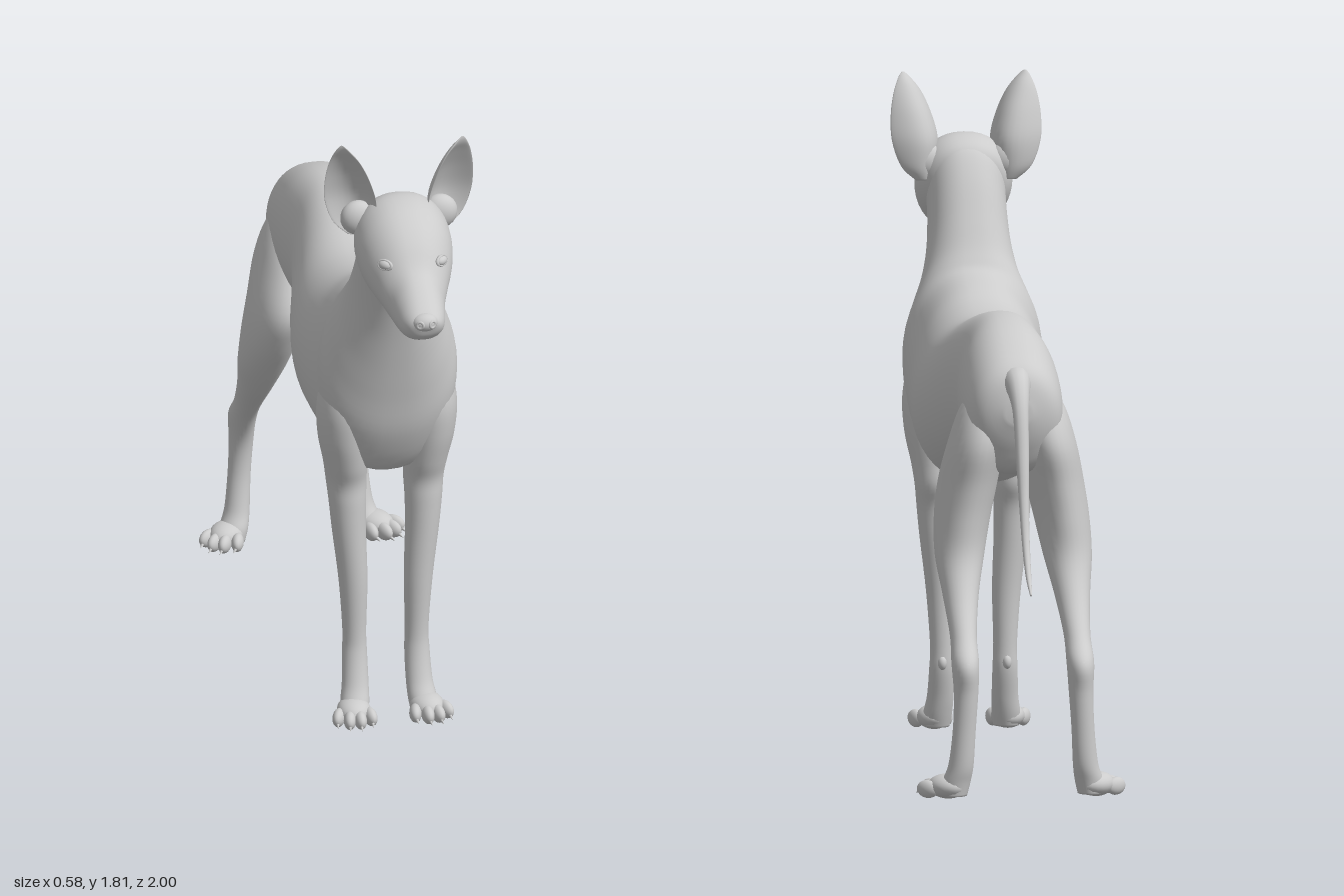
import * as THREE from 'three';

const coat = new THREE.MeshStandardMaterial({ color: 0xcccccc });
coat.name = 'light grey coat';

// Catmull-Rom refinement of a list of number rows
function refine(rows, n) {
  const out = [];
  for (let i = 0; i < rows.length - 1; i++) {
    const a = rows[Math.max(i - 1, 0)], b = rows[i], c = rows[i + 1], d = rows[Math.min(i + 2, rows.length - 1)];
    for (let k = 0; k < n; k++) {
      const t = k / n;
      out.push(b.map((_, q) => b[q] + 0.5 * t * (c[q] - a[q] +
        t * (2 * a[q] - 5 * b[q] + 4 * c[q] - d[q] + t * (3 * (b[q] - c[q]) + d[q] - a[q])))));
    }
  }
  out.push(rows[rows.length - 1]);
  return out;
}

// Closed smooth skin over cross-sections; ring(row, cos, sin) gives one point
function loft(name, rows, ring, segs = 32, steps = 5) {
  const fine = refine(rows, steps), pos = [], idx = [];
  for (const r of fine) for (let j = 0; j < segs; j++) {
    const a = j / segs * Math.PI * 2;
    pos.push(...ring(r, Math.cos(a), Math.sin(a)));
  }
  for (let i = 0; i < fine.length - 1; i++) for (let j = 0; j < segs; j++) {
    const a = i * segs + j, b = i * segs + (j + 1) % segs, c = a + segs, d = b + segs;
    idx.push(a, b, d, a, d, c);
  }
  for (const [row, flip] of [[0, true], [fine.length - 1, false]]) {
    const mid = pos.length / 3, m = [0, 0, 0];
    for (let j = 0; j < segs; j++) for (let k = 0; k < 3; k++) m[k] += pos[(row * segs + j) * 3 + k] / segs;
    pos.push(...m);
    for (let j = 0; j < segs; j++) {
      const a = row * segs + j, b = row * segs + (j + 1) % segs;
      flip ? idx.push(mid, b, a) : idx.push(mid, a, b);
    }
  }
  // Turn the skin outward when its signed volume is negative
  const p = i => new THREE.Vector3().fromArray(pos, i * 3);
  let vol = 0;
  for (let i = 0; i < idx.length; i += 3) vol += p(idx[i]).dot(p(idx[i + 1]).cross(p(idx[i + 2])));
  if (vol < 0) idx.reverse();
  const g = new THREE.BufferGeometry();
  g.setAttribute('position', new THREE.Float32BufferAttribute(pos, 3));
  g.setIndex(idx);
  g.computeVertexNormals();
  const mesh = new THREE.Mesh(g, coat);
  mesh.name = name;
  return mesh;
}

// Section between a top and a bottom point: [topZ, topY, bottomZ, bottomY, halfWidth, pear]
const spine = ([tz, ty, bz, by, w, e = 0], c, s) => [
  w * Math.sign(c) * Math.abs(c) ** 0.88 * (1 - e * s),
  (ty + by) / 2 + s * (ty - by) / 2, (tz + bz) / 2 + s * (tz - bz) / 2];

// Level section: [x, y, z, radiusX, radiusZ], mirrored by side
const limb = side => ([x, y, z, rx, rz], c, s) => [side * (x + rx * c), y, z + rz * s];

function blob(name, x, y, z, rx, ry, rz) {
  const m = new THREE.Mesh(new THREE.SphereGeometry(1, 20, 14), coat);
  m.name = name;
  m.position.set(x, y, z);
  m.scale.set(rx, ry, rz);
  return m;
}

// Paw with four toes and claws, pointing +z before turning
function paw(name, x, z, turn) {
  const g = new THREE.Group();
  g.name = name;
  g.add(blob('pawPad', 0, 0.036, 0, 0.047, 0.034, 0.062));
  for (let i = 0; i < 4; i++) {
    const k = i - 1.5, inner = Math.abs(k) < 1, tx = k * 0.029, tz = inner ? 0.054 : 0.032;
    const toe = blob('toe', tx, 0.028, tz, 0.0175, 0.025, 0.035);
    toe.rotation.y = k * 0.18;
    const claw = new THREE.Mesh(new THREE.ConeGeometry(0.007, 0.026, 8), coat);
    claw.name = 'claw';
    claw.position.set(tx * 1.12, 0.018, tz + 0.035);
    claw.rotation.set(1.95, 0, 0);
    g.add(toe, claw);
  }
  g.position.set(x, 0, z);
  g.rotation.y = turn;
  return g;
}

export function createModel() {
  const dog = new THREE.Group();
  dog.name = 'dog';

  // Torso running up into the neck
  dog.add(loft('bodyAndNeck', [
    [-0.685, 1.09, -0.685, 1.03, 0.035, 0], [-0.665, 1.165, -0.655, 0.95, 0.1, 0],
    [-0.6, 1.215, -0.6, 0.88, 0.133, 0], [-0.45, 1.27, -0.45, 0.87, 0.14, 0],
    [-0.3, 1.285, -0.28, 0.87, 0.13, 0], [-0.15, 1.265, -0.15, 0.85, 0.15, 0],
    [0, 1.23, 0, 0.79, 0.185, 0.03], [0.1, 1.225, 0.12, 0.745, 0.2, 0.05],
    [0.2, 1.24, 0.25, 0.73, 0.197, 0.05], [0.28, 1.27, 0.38, 0.73, 0.19, 0.05],
    [0.34, 1.29, 0.47, 0.75, 0.192, 0.05], [0.37, 1.305, 0.54, 0.87, 0.192, 0.06],
    [0.39, 1.33, 0.575, 1.0, 0.168, 0.06], [0.415, 1.37, 0.605, 1.12, 0.138, 0.04],
    [0.45, 1.44, 0.63, 1.22, 0.118, 0], [0.5, 1.54, 0.655, 1.31, 0.11, 0],
    [0.55, 1.61, 0.68, 1.38, 0.108, 0], [0.6, 1.63, 0.7, 1.42, 0.09, 0]], spine, 48));

  // Skull, stop and muzzle
  dog.add(loft('head', [
    [0.53, 1.575, 0.56, 1.49, 0.05, 0], [0.56, 1.62, 0.59, 1.42, 0.105, 0],
    [0.62, 1.645, 0.64, 1.385, 0.132, 0], [0.69, 1.638, 0.7, 1.362, 0.133, 0.02],
    [0.75, 1.61, 0.755, 1.355, 0.12, 0.04], [0.8, 1.57, 0.805, 1.345, 0.1, 0.06],
    [0.85, 1.513, 0.855, 1.336, 0.08, 0.12], [0.9, 1.48, 0.905, 1.334, 0.07, 0.12],
    [0.95, 1.447, 0.945, 1.342, 0.06, 0.08], [0.98, 1.425, 0.97, 1.36, 0.044, 0],
    [0.99, 1.41, 0.98, 1.38, 0.02, 0]], spine, 40));
  dog.add(blob('nose', 0, 1.407, 0.972, 0.036, 0.026, 0.028));

  // Tail
  dog.add(loft('tail', [
    [-0.58, 1.19, -0.61, 1.1, 0.04], [-0.66, 1.183, -0.65, 1.1, 0.038], [-0.715, 1.155, -0.69, 1.09, 0.03],
    [-0.765, 1.08, -0.727, 1.055, 0.022], [-0.805, 0.95, -0.77, 0.94, 0.018],
    [-0.835, 0.84, -0.807, 0.83, 0.014], [-0.88, 0.733, -0.86, 0.72, 0.011],
    [-0.94, 0.65, -0.927, 0.638, 0.008], [-1, 0.603, -0.998, 0.597, 0.003]], spine, 16));

  for (const s of [1, -1]) {
    const side = s > 0 ? 'left' : 'right';

    // Shoulder and front leg
    dog.add(loft(side + 'FrontLeg', [
      [0.08, 1.14, 0.42, 0.03, 0.04], [0.108, 1.06, 0.43, 0.062, 0.07], [0.122, 0.95, 0.435, 0.073, 0.09],
      [0.122, 0.85, 0.428, 0.07, 0.088], [0.113, 0.76, 0.416, 0.061, 0.077], [0.109, 0.7, 0.406, 0.056, 0.067],
      [0.107, 0.64, 0.415, 0.052, 0.056], [0.103, 0.55, 0.418, 0.047, 0.05], [0.092, 0.4, 0.42, 0.04, 0.041],
      [0.088, 0.25, 0.417, 0.033, 0.034], [0.088, 0.18, 0.42, 0.035, 0.035], [0.09, 0.1, 0.44, 0.037, 0.036],
      [0.095, 0.05, 0.46, 0.04, 0.042], [0.097, 0.012, 0.47, 0.036, 0.038]], limb(s), 28));
    dog.add(blob(side + 'WristPad', s * 0.09, 0.2, 0.39, 0.013, 0.02, 0.016));
    dog.add(paw(side + 'FrontPaw', s * 0.103, 0.485, s * 0.12));

    // Thigh, hock and hind leg
    dog.add(loft(side + 'HindLeg', [
      [0.06, 1.14, -0.54, 0.03, 0.03], [0.082, 1.06, -0.54, 0.062, 0.09], [0.1, 0.96, -0.53, 0.077, 0.137],
      [0.12, 0.85, -0.502, 0.081, 0.15], [0.138, 0.75, -0.518, 0.077, 0.127], [0.15, 0.65, -0.56, 0.068, 0.093],
      [0.155, 0.55, -0.633, 0.05, 0.073], [0.158, 0.45, -0.728, 0.037, 0.06], [0.16, 0.38, -0.795, 0.038, 0.062],
      [0.16, 0.3, -0.813, 0.034, 0.039], [0.165, 0.2, -0.815, 0.032, 0.031], [0.173, 0.1, -0.805, 0.035, 0.036],
      [0.185, 0.05, -0.79, 0.04, 0.042], [0.19, 0.012, -0.785, 0.036, 0.04]], limb(s), 28));
    dog.add(blob(side + 'Hock', s * 0.16, 0.365, -0.833, 0.024, 0.034, 0.026));
    dog.add(paw(side + 'HindPaw', s * 0.208, -0.775, s * 0.55));

    // Cupped ear: [x, y, z, halfWidth, cupDepth]
    dog.add(loft(side + 'Ear', [
      [0.118, 1.52, 0.6, 0.025, 0.01], [0.132, 1.56, 0.61, 0.056, 0.034], [0.14, 1.63, 0.625, 0.075, 0.054],
      [0.15, 1.7, 0.637, 0.066, 0.046], [0.159, 1.76, 0.645, 0.045, 0.024], [0.167, 1.8, 0.651, 0.019, 0.006],
      [0.17, 1.815, 0.652, 0.004, 0.001]], ([x, y, z, w, cup], c, t) => {
      const across = w * c, back = -cup * (1 - c * c) + Math.min(0.008, w * 0.3) * t;
      return [s * (x + 0.89 * across + 0.45 * back), y, z - 0.45 * across + 0.89 * back];
    }, 28));
    dog.add(blob(side + 'EarBase', s * 0.115, 1.575, 0.605, 0.05, 0.05, 0.035));

    // Eye with lids, and a nostril
    const eye = new THREE.Group();
    eye.name = side + 'Eye';
    eye.add(blob('eyeball', 0, 0, 0, 0.02, 0.013, 0.012));
    const lid = new THREE.Mesh(new THREE.TorusGeometry(0.021, 0.005, 8, 24), coat);
    lid.name = 'eyelids';
    lid.scale.y = 0.65;
    eye.add(lid);
    eye.position.set(s * 0.08, 1.515, 0.808);
    eye.rotation.set(-0.3, s * 0.75, s * 0.2);
    dog.add(eye);
    const nostril = new THREE.Mesh(new THREE.TorusGeometry(0.009, 0.004, 8, 16), coat);
    nostril.name = side + 'Nostril';
    nostril.position.set(s * 0.017, 1.407, 0.994);
    nostril.rotation.y = s * 0.5;
    dog.add(nostril);
  }
  return dog;
}
